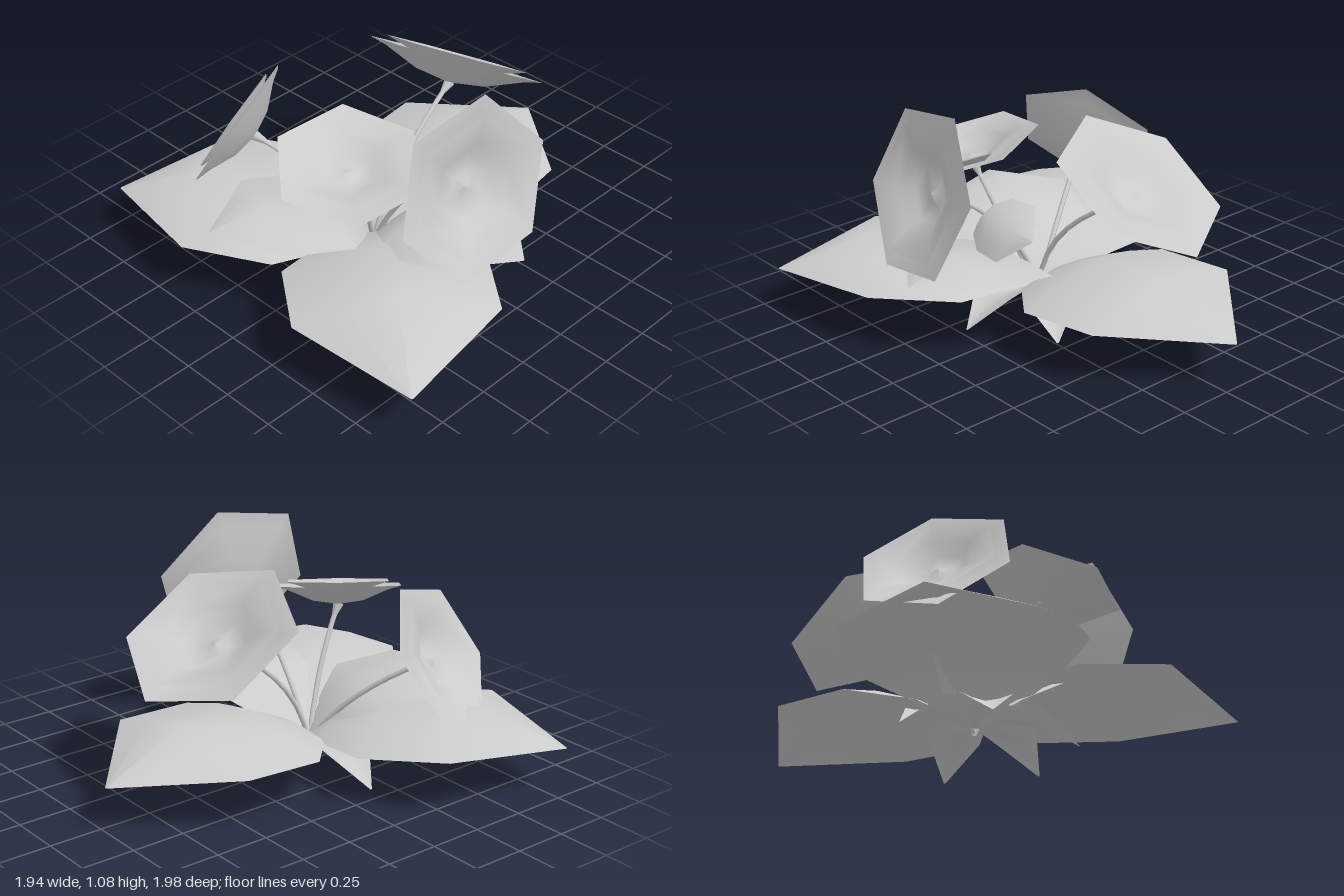
import * as THREE from 'three';

const material = new THREE.MeshStandardMaterial({ color: 0xcccccc, side: THREE.DoubleSide });
const V = (a) => new THREE.Vector3(...a);

// Leaf from cross-sections [distance, half width, rib height, edge height], pointing from (ox, oz) to (tx, tz)
function leaf(name, [ox, oz], [tx, tz], rows) {
  const length = Math.hypot(tx - ox, tz - oz);
  const dx = (tx - ox) / length, dz = (tz - oz) / length;
  const scale = length / rows[rows.length - 1][0];
  const pos = [], index = [], cols = 5;
  rows.forEach(([l, w, rib, edge], r) => {
    for (let c = 0; c < cols; c++) {
      const t = (c / (cols - 1)) * 2 - 1;
      pos.push(ox + dx * l * scale - dz * w * t, rib + (edge - rib) * Math.abs(t) ** 1.5, oz + dz * l * scale + dx * w * t);
      if (r && c) {
        const d = r * cols + c, b = d - cols;
        index.push(b - 1, d, b, b - 1, d - 1, d);
      }
    }
  });
  const g = new THREE.BufferGeometry();
  g.setAttribute('position', new THREE.Float32BufferAttribute(pos, 3));
  g.setIndex(index);
  g.computeVertexNormals();
  const mesh = new THREE.Mesh(g, material);
  mesh.name = name;
  return mesh;
}

// Six-sided bloom: a wide outer cup and a smaller inner layer with a sunken heart
function flower(center, normal, corner, R) {
  const group = new THREE.Group();
  group.name = 'flower';
  const layers = {
    outerPetals: [[0, -0.27], [0.4, -0.21], [0.8, -0.05], [1, 0]],
    innerPetals: [[0, -0.14], [0.15, -0.2], [0.36, -0.17], [0.5, -0.03], [0.81, 0.06]],
  };
  for (const [name, profile] of Object.entries(layers)) {
    const points = profile.map(([r, h]) => new THREE.Vector2(r * R, h * R));
    const mesh = new THREE.Mesh(new THREE.LatheGeometry(points, 6), material);
    mesh.name = name;
    group.add(mesh);
  }
  const y = V(normal).normalize();
  const z = V(corner).addScaledVector(y, -V(corner).dot(y)).normalize();
  const x = new THREE.Vector3().crossVectors(y, z);
  group.quaternion.setFromRotationMatrix(new THREE.Matrix4().makeBasis(x, y, z));
  group.position.set(...center);
  return group;
}

// Thin curved stalk with a flared end below the bloom
function stem(center, normal, bend, R) {
  const end = V(center).addScaledVector(V(normal).normalize(), -0.27 * R);
  const curve = new THREE.QuadraticBezierCurve3(V([0.03, 0.08, 0.17]), V(bend), end);
  const group = new THREE.Group();
  group.name = 'stem';
  const stalk = new THREE.Mesh(new THREE.TubeGeometry(curve, 8, 0.012, 6), material);
  stalk.name = 'stalk';
  const flare = new THREE.Mesh(new THREE.CylinderGeometry(0.026, 0.012, 0.06, 6, 1, true), material);
  flare.name = 'stalkFlare';
  flare.quaternion.setFromUnitVectors(V([0, 1, 0]), curve.getTangent(1));
  flare.position.copy(end).addScaledVector(curve.getTangent(1), -0.025);
  group.add(stalk, flare);
  return group;
}

export function createModel() {
  const model = new THREE.Group();
  const root = [0.03, 0.16];

  // Three broad ground leaves
  const large = [
    [0, 0.03, 0.12, 0.12], [0.12, 0.24, 0.23, 0.2], [0.35, 0.45, 0.345, 0.24],
    [0.74, 0.44, 0.385, 0.27], [1.15, 0.004, 0.215, 0.215],
  ];
  for (const tip of [[-0.05, -1], [0.97, 0.9], [-0.97, 0.82]]) model.add(leaf('largeLeaf', root, tip, large));

  // Two medium leaves, held a little higher
  const medium = [
    [0, 0.03, 0.12, 0.12], [0.1, 0.2, 0.25, 0.23], [0.25, 0.31, 0.37, 0.33],
    [0.54, 0.3, 0.44, 0.375], [0.8, 0.004, 0.37, 0.37],
  ];
  for (const tip of [[0.84, 0.08], [-0.26, 0.88]]) model.add(leaf('mediumLeaf', root, tip, medium));

  // Small drooping leaves at the foot, folded up along the rib
  const small = [
    [0, 0.02, 0.09, 0.1], [0.12, 0.1, 0.12, 0.17], [0.28, 0.12, 0.11, 0.15], [0.43, 0.004, 0.005, 0.005],
  ];
  for (const tip of [[-0.42, 0.16], [-0.26, 0.53], [0.3, 0.53], [0.46, 0.17], [0.24, -0.2]]) {
    model.add(leaf('smallLeaf', root, tip, small));
  }

  // Young tilted leaf beside the right-hand flower
  const young = leaf('youngLeaf', [0, 0.17], [0, -0.18], [
    [0, 0.08, 0, -0.02], [0.08, 0.14, 0.03, -0.02], [0.22, 0.15, 0.03, -0.02], [0.35, 0.01, 0, 0],
  ]);
  young.rotation.z = -0.72;
  young.position.set(0.365, 0.535, 0);
  model.add(young);

  // Flowers: centre, facing, direction of one corner, radius, bend of the stem
  const flowers = [
    [[-0.03, 0.765, -0.43], [-0.15, 0.83, -0.53], [0, 0.54, 0.84], 0.41, [0.06, 0.45, 0.1]],
    [[0.665, 0.72, 0.21], [0.95, 0.28, 0.13], [-0.1, 0.36, -0.15], 0.4, [0.2, 0.52, 0.15]],
    [[0.19, 0.745, 0.47], [0.22, 0.95, 0.16], [0.06, 0.04, -0.31], 0.335, [0.14, 0.4, 0.3]],
    [[-0.53, 0.61, 0.46], [-0.79, 0.51, 0.36], [0.13, 0.3, -0.14], 0.355, [-0.12, 0.35, 0.22]],
  ];
  for (const [center, normal, corner, R, bend] of flowers) {
    model.add(flower(center, normal, corner, R), stem(center, normal, bend, R));
  }
  return model;
}
